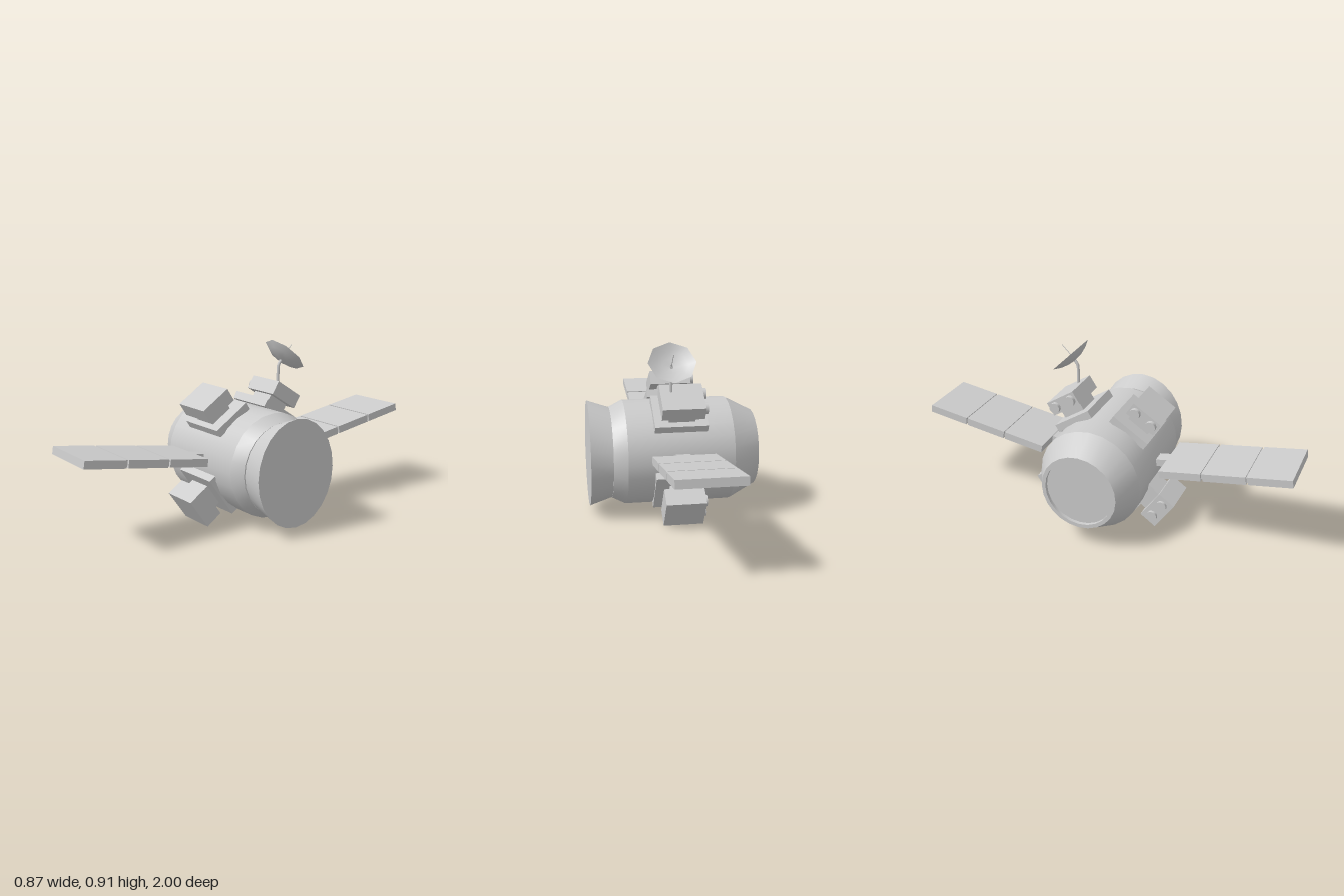
import * as THREE from 'three';
import { toCreasedNormals } from 'three/addons/utils/BufferGeometryUtils.js';

const mat = new THREE.MeshStandardMaterial({ color: 0xcccccc });
const thinMat = new THREE.MeshStandardMaterial({ color: 0xcccccc, side: THREE.DoubleSide });
const AXIS_Y = 0.322; // height of the hull's centre line

function add(parent, name, geometry, x = 0, y = 0, z = 0, material = mat) {
  const mesh = new THREE.Mesh(geometry, material);
  mesh.name = name;
  mesh.position.set(x, y, z);
  parent.add(mesh);
  return mesh;
}

// Box given by its x and y extents and its width in z, centred on z
function slab(parent, name, [x0, x1], [y0, y1], width, z = 0) {
  return add(parent, name, new THREE.BoxGeometry(x1 - x0, y1 - y0, width),
    (x0 + x1) / 2, (y0 + y1) / 2, z);
}

// Equipment pod: local y points away from the hull axis
function pod(parent, name, angle, side, s) {
  const g = new THREE.Group();
  g.name = name;
  g.position.y = AXIS_Y;
  g.rotation.x = side * angle;
  parent.add(g);
  const off = side * s.offset;
  slab(g, 'basePlate', [-0.158, 0.115], s.plate, s.plateWidth);
  slab(g, 'podNeck', [-0.09, 0.045], [s.plate[1] - 0.01, s.box[0] + 0.01], 0.125, off);
  slab(g, 'podBox', s.boxX, s.box, s.boxWidth, off);
  // Two round nozzles on the end of the box
  for (const k of [-1, 1]) {
    const nozzle = new THREE.CylinderGeometry(0.028, 0.028, s.nozzle + 0.01, 16).rotateZ(Math.PI / 2);
    add(g, 'nozzle', toCreasedNormals(nozzle, 0.7),
      s.boxX[0] - s.nozzle / 2 + 0.005, (s.box[0] + s.box[1]) / 2, off + k * s.spacing / 2);
  }
}

// Solar wing: three panels on a slightly thinner core, joined to the hull by an arm
function wing(parent, name, side) {
  const g = new THREE.Group();
  g.name = name;
  g.position.set(-0.021, 0.368, side * 0.328);
  g.rotation.x = -side * 0.158;
  parent.add(g);
  const length = 0.677, gap = 0.01, panel = (length - 2 * gap) / 3;
  for (let i = 0; i < 3; i++) {
    add(g, 'solarPanel', new THREE.BoxGeometry(0.323, 0.04, panel),
      0, 0, side * (panel / 2 + i * (panel + gap)));
  }
  add(g, 'panelCore', new THREE.BoxGeometry(0.3, 0.03, length - 0.02), 0, 0, side * length / 2);
  add(g, 'wingArm', new THREE.BoxGeometry(0.07, 0.038, 0.12), 0, -0.003, -side * 0.045);
}

export function createModel() {
  const model = new THREE.Group();
  model.name = 'satellite';

  // Hull, turned around x, with a recessed cap at the narrow end
  const profile = [
    [0, -0.415], [0.18, -0.415], [0.18, -0.433], [0.2, -0.433],
    [0.272, -0.295], [0.272, 0.25], [0.237, 0.32], [0, 0.32],
  ].map(([r, h]) => new THREE.Vector2(r, h));
  const hull = new THREE.LatheGeometry(profile, 24).rotateZ(-Math.PI / 2);
  add(model, 'hull', toCreasedNormals(hull, 0.35), 0, AXIS_Y, 0);

  // Flared end: nearly round at the neck, an upright oval at the mouth
  const flare = new THREE.CylinderGeometry(0.277, 0.235, 0.118, 24).rotateZ(-Math.PI / 2);
  const p = flare.attributes.position;
  for (let i = 0; i < p.count; i++) {
    p.setZ(i, p.getZ(i) * (p.getX(i) > 0 ? 0.86 : 0.98));
  }
  add(model, 'flaredEnd', toCreasedNormals(flare, 0.5), 0.374, AXIS_Y, 0);

  // Four pods and two wings, mirrored front to back
  const upper = {
    plate: [0.258, 0.3], plateWidth: 0.22, box: [0.343, 0.418], boxX: [-0.13, 0.085],
    boxWidth: 0.174, offset: 0.016, spacing: 0.1, nozzle: 0.02,
  };
  const lower = {
    plate: [0.235, 0.282], plateWidth: 0.24, box: [0.32, 0.418], boxX: [-0.122, 0.08],
    boxWidth: 0.178, offset: 0, spacing: 0.088, nozzle: 0.015,
  };
  for (const [label, side] of [['front', 1], ['back', -1]]) {
    pod(model, label + 'UpperPod', 0.575, side, upper);
    pod(model, label + 'LowerPod', 2.18, side, lower);
    wing(model, label + 'Wing', side);
  }

  // Antenna on the upper back pod: bent mast, eight-sided dish and feed
  const mastPath = new THREE.CatmullRomCurve3([
    [0.03, 0.67, -0.207], [0.03, 0.76, -0.207], [0.03, 0.79, -0.211], [0.03, 0.815, -0.23],
  ].map((v) => new THREE.Vector3(...v)));
  add(model, 'antennaMast', new THREE.TubeGeometry(mastPath, 12, 0.008, 8), 0, 0, 0, thinMat);

  const antenna = new THREE.Group();
  antenna.name = 'antenna';
  antenna.position.set(0.03, 0.838, -0.249);
  antenna.rotation.x = -Math.PI / 4;
  model.add(antenna);
  const bowl = [[0, -0.038], [0.045, -0.033], [0.085, -0.02], [0.12, 0]]
    .map(([r, h]) => new THREE.Vector2(r, h));
  add(antenna, 'dish', new THREE.LatheGeometry(bowl, 8), 0, 0, 0, thinMat);
  add(antenna, 'dishFeed', new THREE.CylinderGeometry(0.002, 0.002, 0.105, 6), 0, 0.0145, 0);

  return model;
}
